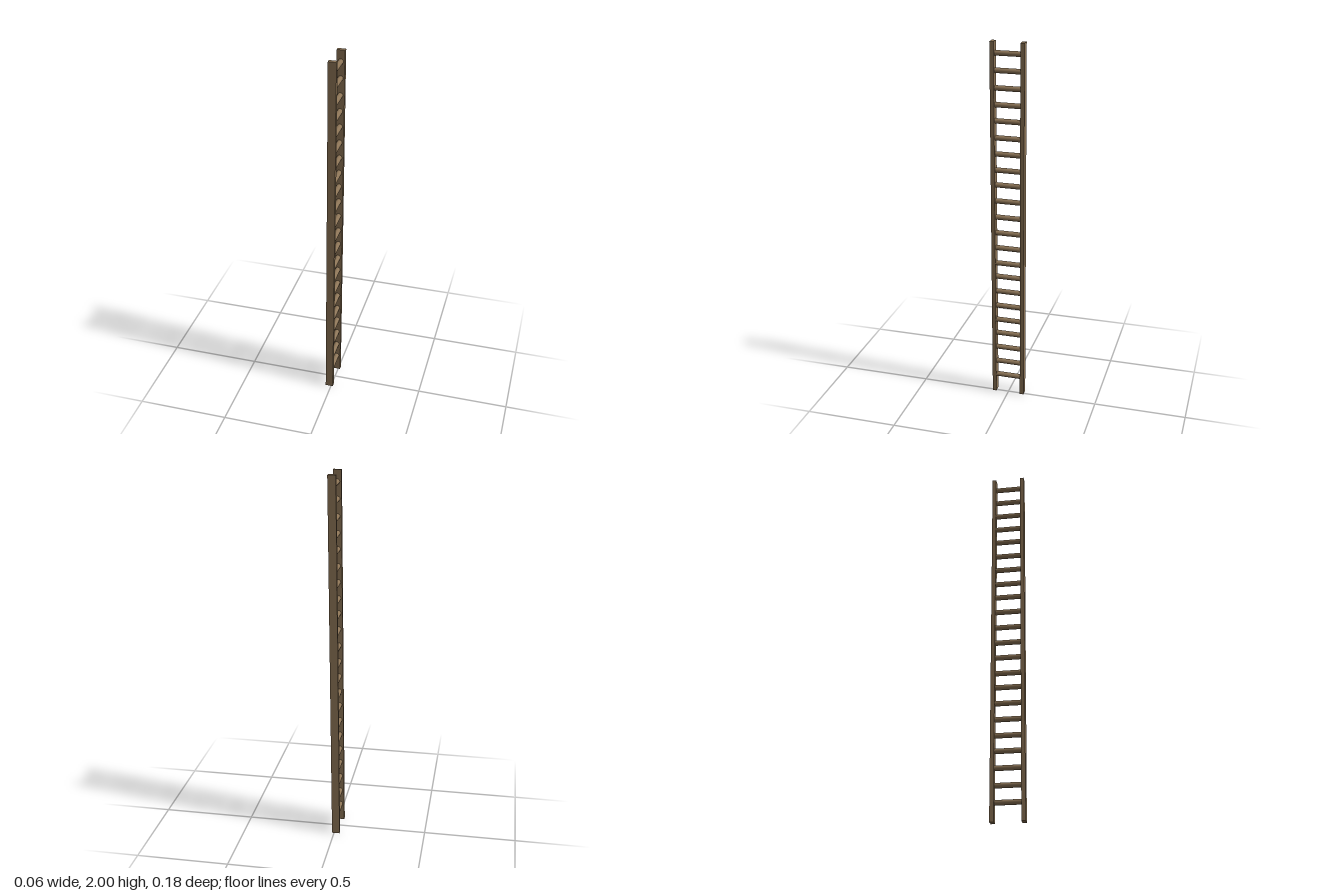
import * as THREE from 'three';

export function createModel() {
  const wood = new THREE.MeshStandardMaterial({ color: 0x8b7355 });
  wood.name = 'brown wood';

  const model = new THREE.Group();
  model.name = 'ladder';

  // Everything hangs on one frame that leans slightly towards +x
  const frame = new THREE.Group();
  frame.name = 'leaningFrame';
  frame.position.y = 1;
  frame.rotation.z = -0.0103;
  model.add(frame);

  // Two flat side rails
  const railGeometry = new THREE.BoxGeometry(0.0425, 1.9995, 0.021);
  for (const side of [1, -1]) {
    const rail = new THREE.Mesh(railGeometry, wood);
    rail.name = side > 0 ? 'frontRail' : 'backRail';
    rail.position.z = side * 0.0795;
    frame.add(rail);
  }

  // Round rungs, spaced slightly unevenly by hand
  const rungHeights = [
    0.101, 0.188, 0.278, 0.367, 0.45, 0.537, 0.625, 0.714, 0.794, 0.884, 0.971,
    1.061, 1.153, 1.243, 1.325, 1.413, 1.5, 1.59, 1.675, 1.762, 1.852, 1.94,
  ];
  const rungGeometry = new THREE.CylinderGeometry(0.0138, 0.0138, 0.145, 16);
  rungGeometry.rotateX(Math.PI / 2);
  rungHeights.forEach((y, i) => {
    const rung = new THREE.Mesh(rungGeometry, wood);
    rung.name = `rung${i + 1}`;
    rung.position.y = y - 1;
    frame.add(rung);
  });

  return model;
}
